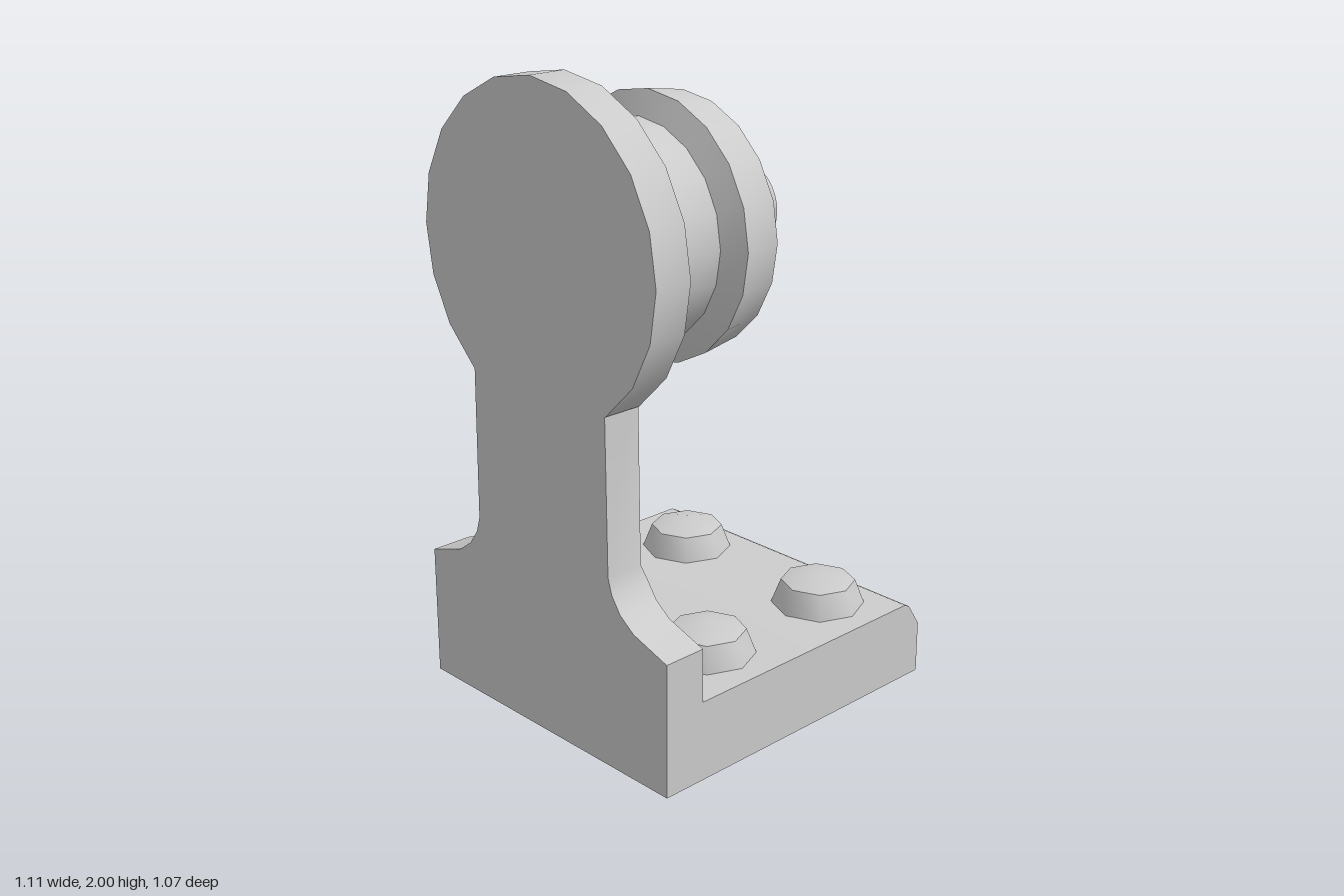
import * as THREE from 'three';
import { toCreasedNormals } from 'three/addons/utils/BufferGeometryUtils.js';

const material = new THREE.MeshStandardMaterial({ color: 0xcccccc });

function part(name, geometry, crease = 0.5) {
  const mesh = new THREE.Mesh(toCreasedNormals(geometry, crease), material);
  mesh.name = name;
  return mesh;
}

// Lathe from [radius, height] pairs, bottom to top
function lathe(points, sides) {
  return new THREE.LatheGeometry(points.map(([r, h]) => new THREE.Vector2(r, h)), sides);
}

// Upright loft of rectangles; each section is [y, half width in z, front x]
function loftUpright(sections, backX) {
  const positions = [];
  const index = [];
  for (const [y, w, x] of sections) {
    positions.push(backX, y, w, x, y, w, x, y, -w, backX, y, -w);
  }
  for (let s = 0; s < sections.length - 1; s++) {
    for (let i = 0; i < 4; i++) {
      const a = s * 4 + i, b = s * 4 + (i + 1) % 4;
      index.push(a, b, b + 4, a, b + 4, a + 4);
    }
  }
  const t = (sections.length - 1) * 4;
  index.push(0, 2, 1, 0, 3, 2, t, t + 1, t + 2, t, t + 2, t + 3);
  const geometry = new THREE.BufferGeometry();
  geometry.setAttribute('position', new THREE.Float32BufferAttribute(positions, 3));
  geometry.setIndex(index);
  return geometry;
}

export function createModel() {
  const model = new THREE.Group();
  model.name = 'wallKnobBracket';
  const back = -0.556, depth = 0.537;

  // Base slab with a bevelled outer edge
  const profile = new THREE.Shape([
    [-0.415, 0], [0.555, 0], [0.555, 0.17], [0.505, 0.245], [0.485, 0.255], [-0.415, 0.255],
  ].map(([x, y]) => new THREE.Vector2(x, y)));
  const base = new THREE.ExtrudeGeometry(profile, { depth: depth * 2, bevelEnabled: false });
  base.translate(0, 0, -depth);
  model.add(part('base', base));

  // Upright arm flaring into wide shoulders
  model.add(part('upright', loftUpright([
    [0, depth, -0.415], [0.425, depth, -0.415], [0.47, 0.4, -0.415],
    [0.51, 0.345, -0.415], [0.56, 0.31, -0.415], [0.61, 0.295, -0.43],
    [1.3, 0.288, -0.43],
  ], back)));

  // Back disc and grooved drum, turned about the x axis
  const drum = lathe([
    [0, back], [0.5, back], [0.5, -0.43], [0.36, -0.36], [0.335, -0.28],
    [0.335, -0.155], [0.41, -0.12], [0.39, 0.02], [0.26, 0.105], [0.133, 0.145], [0, 0.145],
  ], 20);
  drum.rotateZ(-Math.PI / 2).translate(0, 1.5, 0);
  model.add(part('drum', drum));

  // Spindle stub with a slightly domed tip
  const spindle = lathe([[0.133, 0.13], [0.133, 0.29], [0, 0.298]], 32);
  spindle.rotateZ(-Math.PI / 2).translate(0, 1.5, 0);
  model.add(part('spindle', spindle));

  // Four domed rivets on the base
  const dome = lathe([[0.15, 0.25], [0.118, 0.333], [0, 0.365]], 8);
  for (const x of [-0.188, 0.305]) {
    for (const z of [-0.275, 0.325]) {
      const rivet = part('rivet', dome, 0.9);
      rivet.position.set(x, 0, z);
      model.add(rivet);
    }
  }
  return model;
}
